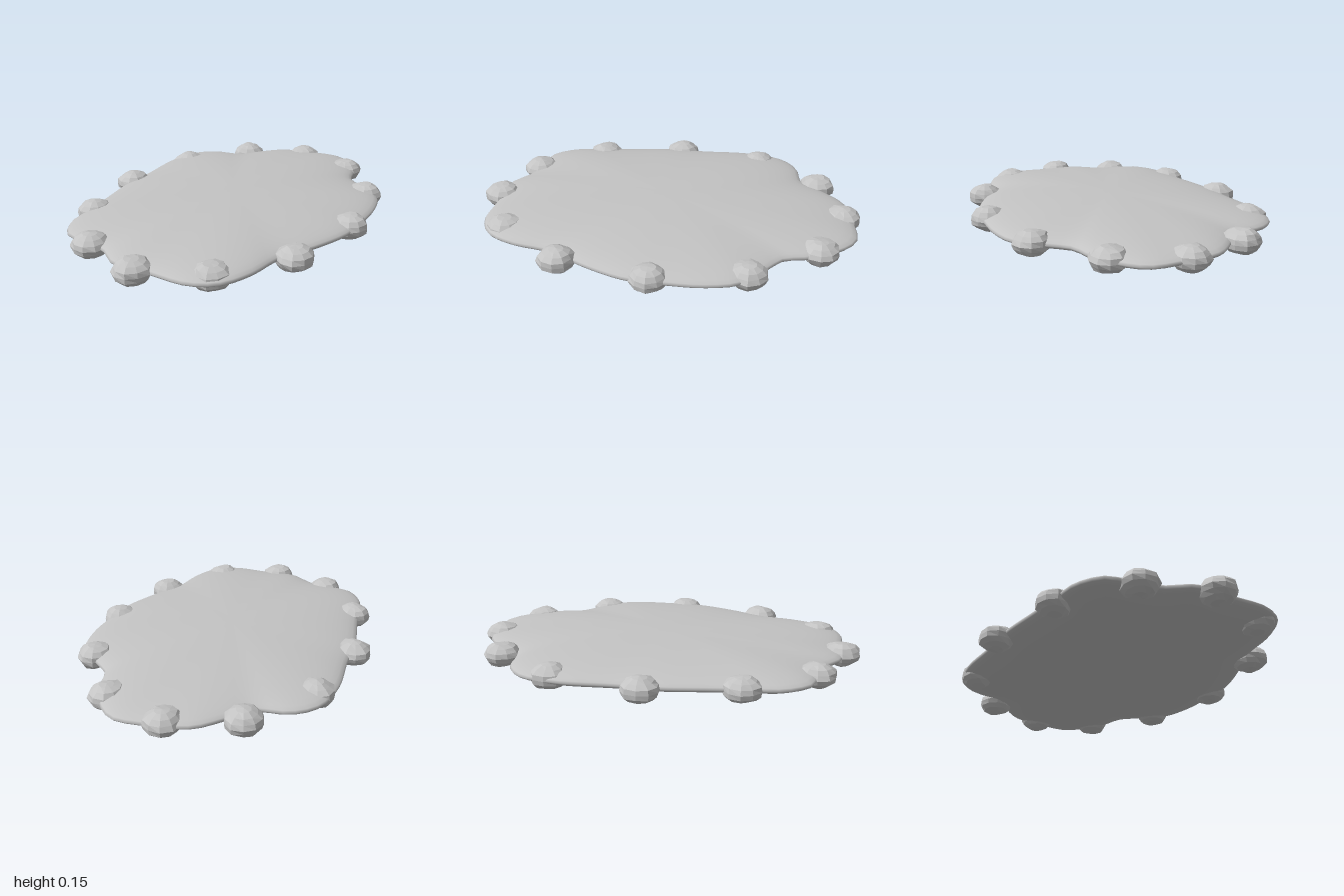
import * as THREE from 'three';
import { mergeVertices } from 'three/addons/utils/BufferGeometryUtils.js';

const MID_Y = 0.08;

// Wavy outline of the slab as x, z pairs, running from +x towards +z
const OUTLINE = [
  [0.69, -0.1], [0.68, 0.1], [0.61, 0.3], [0.51, 0.5], [0.47, 0.7], [0.4, 0.84], [0.28, 0.905],
  [0.08, 0.9], [-0.1, 0.9], [-0.235, 0.81], [-0.39, 0.78], [-0.48, 0.755], [-0.56, 0.64],
  [-0.58, 0.5], [-0.605, 0.32], [-0.64, 0.08], [-0.64, -0.13], [-0.65, -0.39], [-0.605, -0.58],
  [-0.5, -0.67], [-0.34, -0.7], [-0.25, -0.81], [-0.13, -0.92], [0.08, -0.96], [0.21, -0.96],
  [0.3, -0.89], [0.39, -0.74], [0.425, -0.61], [0.505, -0.54], [0.64, -0.42], [0.685, -0.26],
];

// Flattened sphere whose rings all follow the wavy outline
function slabGeometry() {
  const cols = 96, rows = 24;
  const curve = new THREE.CatmullRomCurve3(OUTLINE.map(([x, z]) => new THREE.Vector3(x, 0, z)), true);
  const geo = new THREE.SphereGeometry(1, cols, rows);
  const pos = geo.attributes.position;
  const rim = Array.from({ length: cols }, (_, i) => curve.getPointAt(1 - i / cols));
  for (let i = 0; i < pos.count; i++) {
    const r = Math.hypot(pos.getX(i), pos.getZ(i));
    const p = rim[(i % (cols + 1)) % cols];
    pos.setXYZ(i, p.x * r, pos.getY(i) * 0.076, p.z * r);
  }
  geo.deleteAttribute('uv');
  geo.deleteAttribute('normal');
  const merged = mergeVertices(geo, 1e-5);
  merged.computeVertexNormals();
  return merged;
}

// Faceted low-poly pebble, roughened differently for each seed
function pebbleGeometry(seed) {
  const geo = new THREE.SphereGeometry(1, 10, 8).toNonIndexed();
  const pos = geo.attributes.position;
  const v = new THREE.Vector3();
  for (let i = 0; i < pos.count; i++) {
    v.fromBufferAttribute(pos, i);
    const bump = 1 + 0.05 * Math.sin(4 * v.x + 1.7 * seed) * Math.cos(5 * v.z + 2.3 * seed)
      + 0.03 * Math.sin(7 * v.y + seed + 3 * v.x);
    v.multiplyScalar(bump);
    pos.setXYZ(i, v.x * 0.09, v.y * 0.061, v.z * 0.095);
  }
  geo.computeVertexNormals();
  return geo;
}

export function createModel() {
  const group = new THREE.Group();
  group.name = 'stoneRimmedSlab';

  const grey = new THREE.MeshStandardMaterial({ color: 0xc3c3c3 });
  grey.name = 'lightGrey';

  // Thin slab
  const slab = new THREE.Mesh(slabGeometry(), grey);
  slab.name = 'slab';
  slab.position.y = MID_Y;
  group.add(slab);

  // Twelve pebbles on an oval around the rim
  const stones = new THREE.Group();
  stones.name = 'rimStones';
  for (let i = 0; i < 12; i++) {
    const a = (i / 12) * Math.PI * 2;
    const stone = new THREE.Mesh(pebbleGeometry(i + 1), grey);
    stone.name = 'rimStone' + (i + 1);
    stone.position.set(0.645 * Math.cos(a), MID_Y - 0.003, 0.9 * Math.sin(a));
    stones.add(stone);
  }
  group.add(stones);
  return group;
}
